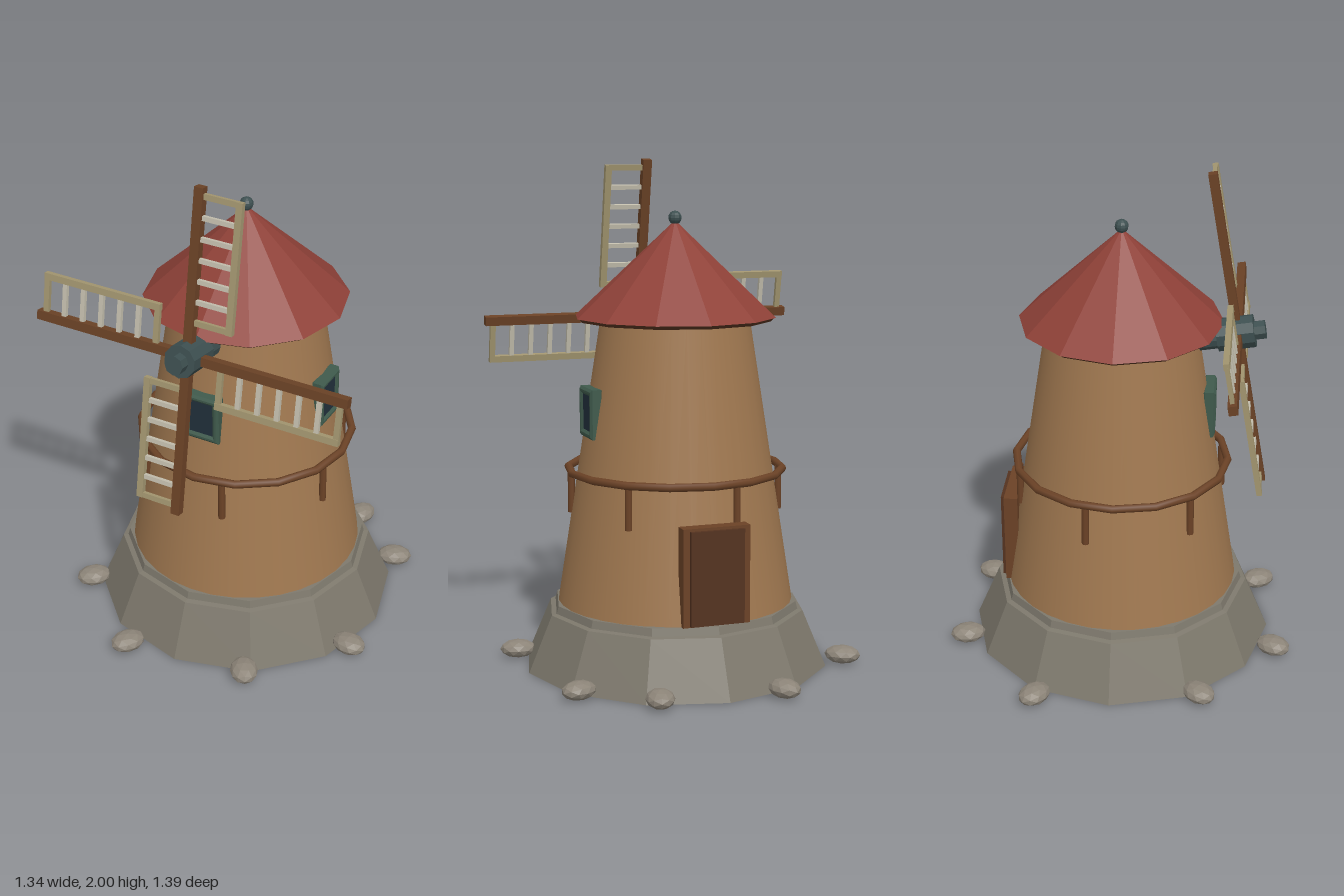
import * as THREE from 'three';

const mat = (color, flatShading = false) => new THREE.MeshStandardMaterial({ color, flatShading });

const M = {
  stone: mat(0x7d786c, true),
  rock: mat(0x8c8478, true),
  wall: mat(0xa07850),
  roof: mat(0x8f4138, true),
  wood: mat(0x6b4226),
  darkWood: mat(0x54321f),
  iron: mat(0x3d4f50, true),
  rail: mat(0xa39670),
  rung: mat(0xc4bfae),
  frame: mat(0x3f5a4c, true),
  glass: mat(0x22303c),
};

function add(parent, name, geometry, material, x = 0, y = 0, z = 0) {
  const mesh = new THREE.Mesh(geometry, material);
  mesh.name = name;
  mesh.position.set(x, y, z);
  parent.add(mesh);
  return mesh;
}

function group(parent, name) {
  const g = new THREE.Group();
  g.name = name;
  parent.add(g);
  return g;
}

const box = (w, h, d) => new THREE.BoxGeometry(w, h, d);
const lathe = (pts, sides) => new THREE.LatheGeometry(pts.map(([r, y]) => new THREE.Vector2(r, y)), sides);

// Framed window facing +z, mounted on the tower wall
function buildWindow(parent, name, angle) {
  const pivot = group(parent, name);
  pivot.rotation.y = angle;
  const w = 0.068, h = 0.088;
  const shape = new THREE.Shape([[-w, -h], [w, -h], [w, h], [-w, h]].map((p) => new THREE.Vector2(...p)));
  shape.holes.push(new THREE.Path([[-0.06, -0.08], [-0.06, 0.08], [0.06, 0.08], [0.06, -0.08]]
    .map((p) => new THREE.Vector2(...p))));
  const frame = new THREE.ExtrudeGeometry(shape, {
    depth: 0.035, bevelEnabled: true, bevelSize: 0.01, bevelThickness: 0.008, bevelSegments: 1,
  });
  add(pivot, 'windowFrame', frame, M.frame, 0, 1.025, 0.33);
  add(pivot, 'windowGlass', box(0.125, 0.165, 0.04), M.glass, 0, 1.025, 0.344);
}

// One sail arm pointing up, with its lattice on the +x side
function buildSail(parent, angle) {
  const sail = group(parent, 'sail');
  sail.rotation.z = angle;
  add(sail, 'sailSpar', box(0.036, 0.655, 0.034), M.wood, 0, 0.3275, 0);
  add(sail, 'sailRail', box(0.026, 0.505, 0.022), M.rail, 0.162, 0.38, 0);
  for (let i = 0; i < 7; i++) {
    const end = i === 0 || i === 6;
    add(sail, 'sailRung', box(0.15, end ? 0.022 : 0.018, 0.016), end ? M.rail : M.rung,
      0.085, 0.139 + i * 0.0805, 0);
  }
}

export function createModel() {
  const model = new THREE.Group();
  model.name = 'windmill';
  const tower = group(model, 'tower');
  tower.position.set(0.01, 0, -0.01);

  // Stepped stone foundation
  add(tower, 'foundation', lathe([[0, 0], [0.61, 0], [0.515, 0.225], [0.495, 0.23],
    [0.487, 0.26], [0.45, 0.262]], 12), M.stone);

  // Tapered tower wall
  add(tower, 'towerWall', new THREE.CylinderGeometry(0.293, 0.468, 1.13, 32), M.wall, 0, 0.825, 0);

  // Roof, eave trim and finial
  add(tower, 'roof', new THREE.ConeGeometry(0.4, 0.375, 12), M.roof, 0, 1.5775, 0);
  add(tower, 'eaveTrim', new THREE.CylinderGeometry(0.392, 0.38, 0.014, 12), M.darkWood, 0, 1.383, 0);
  add(tower, 'finial', new THREE.SphereGeometry(0.027, 10, 8), M.iron, 0, 1.775, 0);

  // Rail around the tower, carried on six posts
  const hoop = add(tower, 'balconyRail', new THREE.TorusGeometry(0.426, 0.016, 8, 16), M.wood, 0, 0.787, 0);
  hoop.rotation.x = Math.PI / 2;
  for (let i = 0; i < 6; i++) {
    const a = Math.PI / 12 + i * Math.PI / 3;
    add(tower, 'balconyPost', new THREE.CylinderGeometry(0.0145, 0.0145, 0.175, 8), M.wood,
      0.413 * Math.sin(a), 0.7, 0.413 * Math.cos(a));
  }

  // Windows on the front and left walls
  buildWindow(tower, 'frontWindow', 0);
  buildWindow(tower, 'leftWindow', Math.PI / 2);

  // Back door
  const door = group(tower, 'door');
  add(door, 'doorFrame', box(0.27, 0.38, 0.055), M.wood, 0, 0.45, -0.438);
  add(door, 'doorPanel', box(0.215, 0.365, 0.018), M.darkWood, 0, 0.447, -0.472);

  // Tilted hub, shaft and four sails
  const rotor = group(model, 'rotor');
  rotor.position.set(0.01, 1.35, 0.44);
  rotor.rotation.x = -THREE.MathUtils.degToRad(9.8);
  const drum = (name, r, from, to, sides) => {
    const m = add(rotor, name, new THREE.CylinderGeometry(r, r, to - from, sides), M.iron, 0, 0, (from + to) / 2);
    m.rotation.x = Math.PI / 2;
  };
  drum('shaft', 0.052, -0.17, -0.05, 12);
  drum('hub', 0.065, -0.08, 0.065, 10);
  drum('hubCap', 0.038, 0.06, 0.108, 8);
  for (let i = 0; i < 4; i++) buildSail(rotor, i * Math.PI / 2);

  // Loose rocks around the foot
  const rocks = [[-0.205, -0.63], [0.276, -0.588], [0.53, -0.39], [0.604, 0.218],
    [0.306, 0.558], [-0.19, 0.629], [-0.534, 0.341], [-0.597, -0.304]];
  rocks.forEach(([x, z], i) => {
    const rock = add(model, 'rock', new THREE.IcosahedronGeometry(1, 1), M.rock, x, 0.037, z);
    rock.scale.set(0.056, 0.036, 0.072);
    rock.rotation.y = Math.atan2(x, z) + 0.25 * Math.sin(i * 2.3);
  });

  return model;
}
